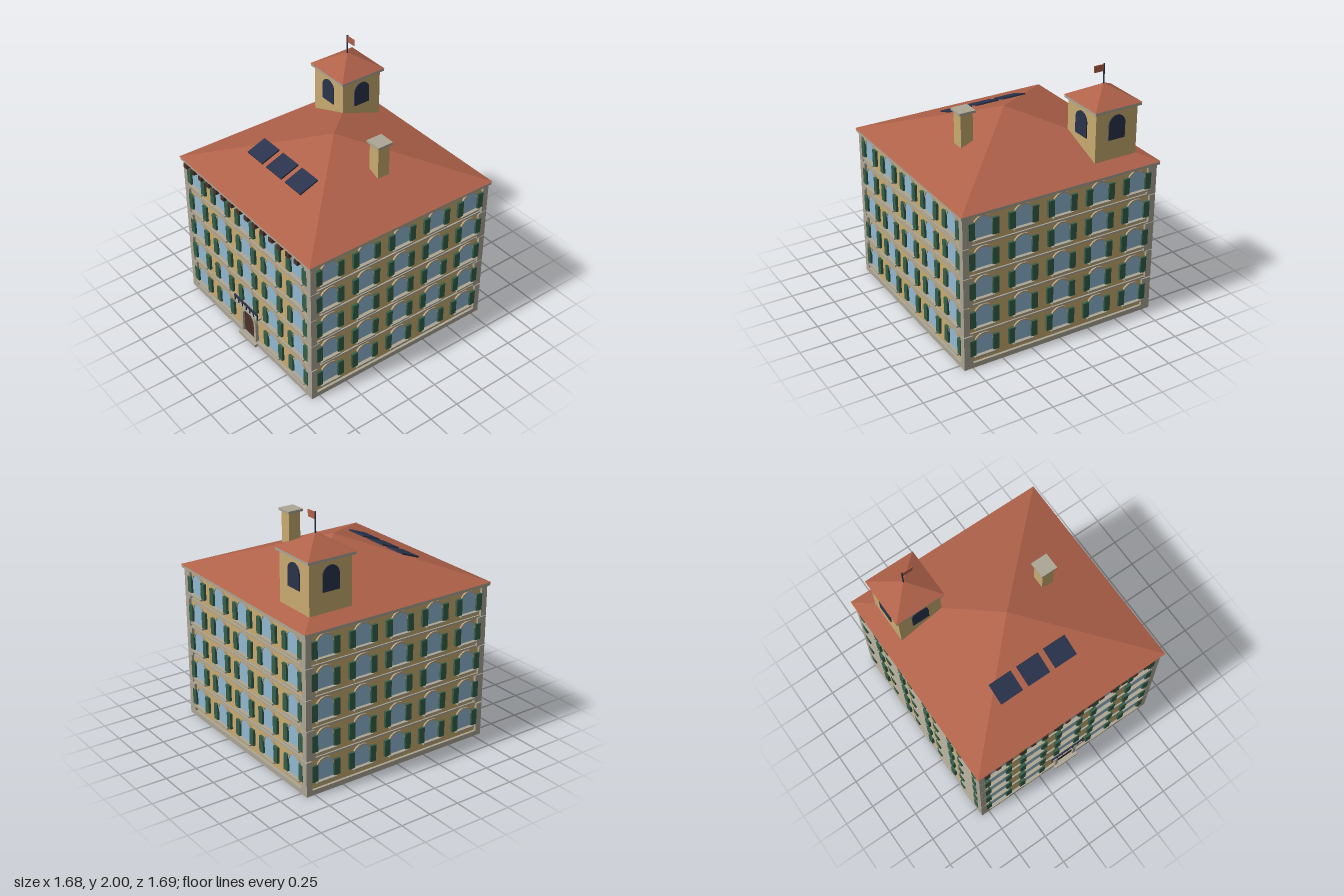
import * as THREE from 'three';

const mat = (name, color, extra = {}) => {
  const m = new THREE.MeshStandardMaterial({ color, ...extra });
  m.name = name;
  return m;
};

export function createModel() {
  const plaster = mat('plaster', 0xc8ab70);
  const stone = mat('stone', 0xaca695);
  const trim = mat('windowTrim', 0xb5a283);
  const tile = mat('roofTile', 0xb0624a, { flatShading: true, side: THREE.DoubleSide });
  const glass = mat('glass', 0x92b8d2);
  const green = mat('shutterGreen', 0x355f49);
  const navy = mat('darkNavy', 0x2a334c);
  const brown = mat('darkWood', 0x4c312a);

  const model = new THREE.Group();
  model.name = 'townHouse';

  const add = (parent, name, geo, material, x = 0, y = 0, z = 0) => {
    const m = new THREE.Mesh(geo, material);
    m.name = name;
    m.position.set(x, y, z);
    parent.add(m);
    return m;
  };
  // box given by its limits
  const box = (parent, name, material, x0, x1, y0, y1, z0, z1) =>
    add(parent, name, new THREE.BoxGeometry(x1 - x0, y1 - y0, z1 - z0), material,
      (x0 + x1) / 2, (y0 + y1) / 2, (z0 + z1) / 2);
  const pyramid = (half, height) =>
    new THREE.ConeGeometry(half * Math.SQRT2, height, 4, 1).rotateY(Math.PI / 4);

  // round-headed outline standing on y = 0
  const arch = (half, height, Type = THREE.Shape) => {
    const s = new Type();
    s.moveTo(-half, 0);
    s.lineTo(half, 0);
    s.lineTo(half, height - half);
    s.absarc(0, height - half, half, 0, Math.PI, false);
    s.lineTo(-half, 0);
    return s;
  };
  const archPlate = (half, height, depth) =>
    new THREE.ExtrudeGeometry(arch(half, height), { depth, bevelEnabled: false, curveSegments: 12 });
  const archRing = (half, height, border, depth) => {
    const s = arch(half + border, height + border);
    s.holes.push(arch(half, height, THREE.Path));
    return new THREE.ExtrudeGeometry(s, { depth, bevelEnabled: false, curveSegments: 12 });
  };

  const FLOORS = 5, STOREY = 0.24, WALL = 0.8;

  // main body, plinth and cornice
  box(model, 'walls', plaster, -WALL, WALL, 0.02, 1.25, -WALL, WALL);
  box(model, 'plinth', stone, -0.82, 0.82, 0, 0.04, -0.82, 0.82);
  box(model, 'cornice', stone, -0.835, 0.835, 1.245, 1.27, -0.835, 0.835);
  add(model, 'mainRoof', pyramid(0.84, 0.318), tile, 0, 1.429, 0);

  // corner stones, alternating long and short on each storey
  for (const sx of [-1, 1]) for (const sz of [-1, 1]) for (let f = 0; f < FLOORS; f++) {
    const w = f % 2 ? 0.05 : 0.075, d = f % 2 ? 0.075 : 0.05;
    const y0 = f ? 0.045 + f * STOREY : 0.04;
    add(model, 'cornerStone', new THREE.BoxGeometry(w, 0.235, d), stone,
      sx * (0.82 - w / 2), y0 + 0.1175, sz * (0.82 - d / 2));
  }

  // one window, reused on every facade
  const paneGeo = archPlate(0.072, 0.162, 0.006);
  const frameGeo = archRing(0.072, 0.162, 0.011, 0.014);
  const sillGeo = new THREE.BoxGeometry(0.17, 0.014, 0.034);
  const shutterGeo = new THREE.BoxGeometry(0.05, 0.13, 0.02);
  const addWindow = (parent, x, y) => {
    const w = new THREE.Group();
    w.name = 'window';
    w.position.set(x, y, WALL);
    add(w, 'pane', paneGeo, glass);
    add(w, 'frame', frameGeo, trim);
    add(w, 'sill', sillGeo, stone, 0, -0.007, 0.017);
    for (const s of [-1, 1]) add(w, 'shutter', shutterGeo, green, s * 0.096, 0.067, 0.013);
    parent.add(w);
  };

  // four facades
  ['front', 'left', 'back', 'right'].forEach((side, i) => {
    const facade = new THREE.Group();
    facade.name = side + 'Facade';
    facade.rotation.y = i * Math.PI / 2;
    for (let f = 0; f < FLOORS; f++) {
      for (let c = -2; c <= 2; c++)
        if (i || f || c) addWindow(facade, c * 0.325, 0.1 + f * STOREY);
      if (f) box(facade, 'stringCourse', stone, -0.775, 0.775,
        0.037 + f * STOREY, 0.052 + f * STOREY, WALL - 0.01, WALL + 0.012);
    }
    model.add(facade);
  });

  // entrance
  add(model, 'door', archPlate(0.075, 0.23, 0.009), brown, 0, 0.04, WALL);
  add(model, 'doorSurround', archRing(0.075, 0.23, 0.024, 0.026), stone, 0, 0.04, WALL);
  box(model, 'doorStep', stone, -0.11, 0.11, 0, 0.024, 0.8, 0.848);

  // balcony
  box(model, 'balconySlab', stone, -0.15, 0.15, 0.296, 0.31, 0.8, 0.845);
  box(model, 'balconyRail', navy, -0.157, 0.157, 0.348, 0.364, 0.833, 0.845);
  for (let i = 0; i < 7; i++) {
    const x = -0.15 + i * 0.05;
    box(model, 'baluster', navy, x - 0.004, x + 0.004, 0.308, 0.35, 0.835, 0.843);
  }

  // brackets under the front eave
  for (let i = 0; i < 15; i++) {
    const x = -0.76 + i * 0.1025;
    box(model, 'eaveBracket', brown, x - 0.021, x + 0.021, 1.205, 1.242, 0.8, 0.842);
  }

  // solar panels lying along the front roof slope
  for (const x of [-0.305, -0.065, 0.173]) {
    const panel = add(model, 'solarPanel', new THREE.BoxGeometry(0.19, 0.012, 0.168), navy, x, 1.439, 0.423);
    panel.rotation.x = Math.atan(0.378);
  }

  // chimney
  box(model, 'chimneyStack', plaster, 0.355, 0.455, 1.4, 1.68, -0.158, -0.055);
  box(model, 'chimneyCap', stone, 0.337, 0.472, 1.677, 1.696, -0.174, -0.04);

  // tower
  const tower = new THREE.Group();
  tower.name = 'tower';
  tower.position.set(-0.522, 0, -0.525);
  box(tower, 'towerWalls', plaster, -0.18, 0.18, 1.26, 1.71, -0.18, 0.18);
  box(tower, 'towerCornice', stone, -0.202, 0.202, 1.708, 1.73, -0.202, 0.202);
  add(tower, 'towerRoof', pyramid(0.205, 0.12), tile, 0, 1.79, 0);
  const openingGeo = archPlate(0.07, 0.19, 0.009);
  for (let i = 0; i < 4; i++) {
    const pivot = new THREE.Group();
    pivot.name = 'towerOpening';
    pivot.rotation.y = i * Math.PI / 2;
    add(pivot, 'opening', openingGeo, navy, 0, 1.48, 0.18);
    tower.add(pivot);
  }
  add(tower, 'flagpole', new THREE.CylinderGeometry(0.006, 0.006, 0.17, 8), navy, 0, 1.915, 0);
  box(tower, 'flag', tile, 0.005, 0.086, 1.943, 1.995, -0.003, 0.003);
  model.add(tower);

  return model;
}
